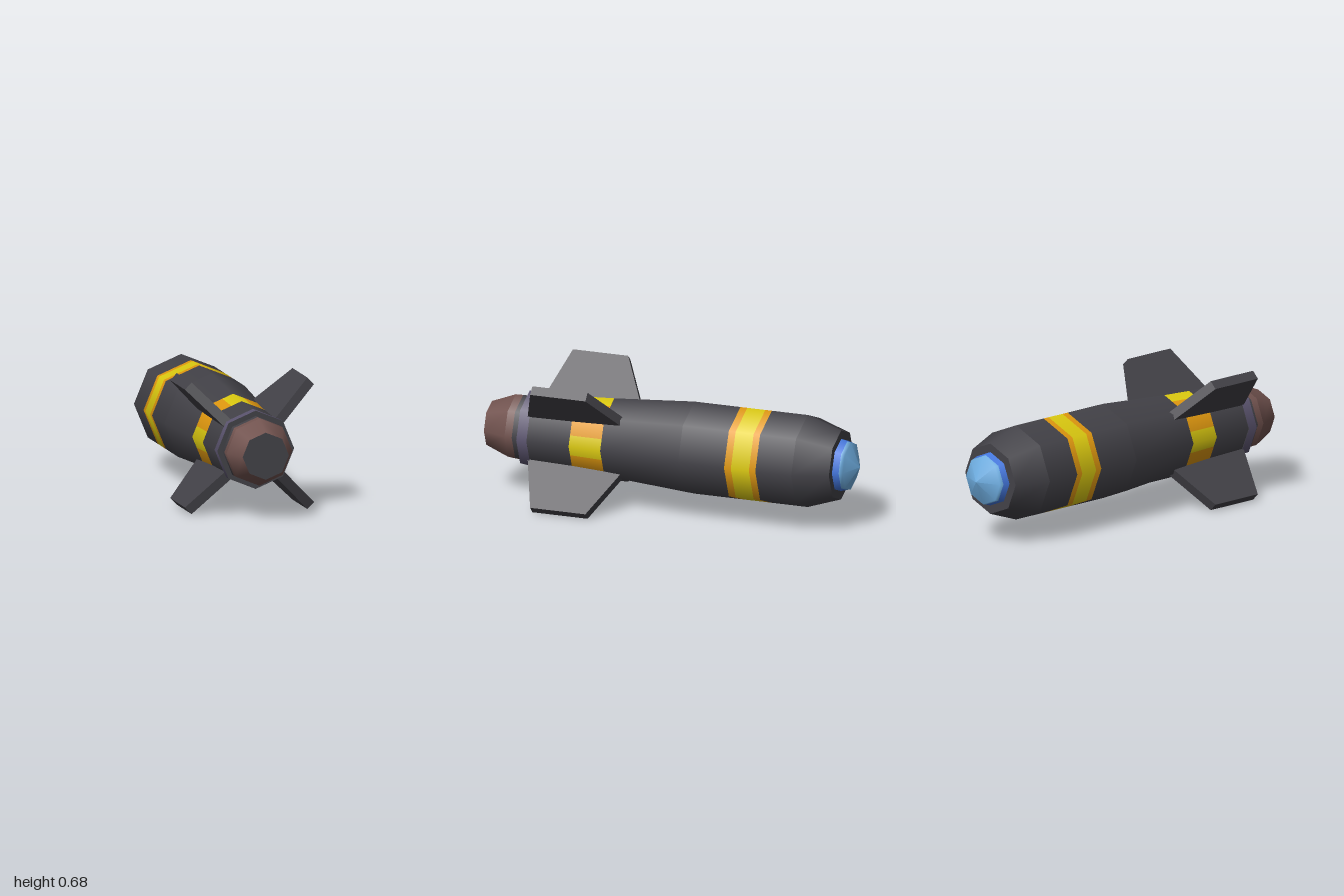
import * as THREE from 'three';

const AXIS_Y = 0.342;
const SIDES = 8;

const mat = (name, color) => {
  const m = new THREE.MeshStandardMaterial({ color });
  m.name = name;
  return m;
};

// Octagonal surface of revolution along z; profile is [z, radius] from back to front
function turned(name, material, profile) {
  const geo = new THREE.LatheGeometry(profile.map(([z, r]) => new THREE.Vector2(r, z)), SIDES);
  geo.rotateX(Math.PI / 2);
  const mesh = new THREE.Mesh(geo, material);
  mesh.name = name;
  return mesh;
}

// Strip of the octagonal skin between two z stations; outline is counter-clockwise unit points
function skinStrip(name, material, outline, [z0, r0], [z1, r1]) {
  const pos = [], nor = [], idx = [];
  outline.forEach((p, i) => {
    const n = p.clone().normalize();
    pos.push(p.x * r0, p.y * r0, z0, p.x * r1, p.y * r1, z1);
    nor.push(n.x, n.y, 0, n.x, n.y, 0);
    if (i > 0) {
      const a = 2 * i - 2;
      idx.push(a, a + 2, a + 1, a + 2, a + 3, a + 1);
    }
  });
  const geo = new THREE.BufferGeometry();
  geo.setAttribute('position', new THREE.Float32BufferAttribute(pos, 3));
  geo.setAttribute('normal', new THREE.Float32BufferAttribute(nor, 3));
  geo.setIndex(idx);
  const mesh = new THREE.Mesh(geo, material);
  mesh.name = name;
  return mesh;
}

export function createModel() {
  const dark = mat('charcoal', 0x434248);
  const yellow = mat('yellow', 0xdcca10);
  const orange = mat('orange', 0xe0980f);
  const lightBlue = mat('light blue', 0x70b0e4);
  const blue = mat('blue', 0x4478e0);
  const brown = mat('brown', 0x735450);
  const purple = mat('purple grey', 0x5c5570);

  const model = new THREE.Group();
  model.name = 'missile';
  const body = new THREE.Group();
  body.name = 'body';
  body.position.y = AXIS_Y;
  model.add(body);

  // Stations where the tapered rear skin changes colour
  const bandBack = [0.335, 0.215], bandFront = [0.51, 0.205];

  body.add(
    // Seeker dome and nose
    turned('seekerDome', lightBlue, [[-1, 0], [-0.95, 0.125], [-0.93, 0.131]]),
    turned('seekerRim', blue, [[-0.93, 0.131], [-0.897, 0.141]]),
    turned('noseFace', dark, [[-0.897, 0.13], [-0.897, 0.186]]),
    turned('noseCone', dark, [[-0.897, 0.186], [-0.715, 0.249]]),
    // Main tube with the forward warning band
    turned('forwardTube', dark, [[-0.715, 0.249], [-0.52, 0.249]]),
    turned('bandEdgeForward', orange, [[-0.52, 0.249], [-0.485, 0.249]]),
    turned('bandCentre', yellow, [[-0.485, 0.249], [-0.387, 0.249]]),
    turned('bandEdgeRear', orange, [[-0.387, 0.249], [-0.35, 0.249]]),
    turned('midTube', dark, [[-0.35, 0.249], [-0.1, 0.249]]),
    turned('taperedTube', dark, [[-0.1, 0.249], bandBack]),
    turned('tailTube', dark, [bandFront, [0.745, 0.198]]),
    // Tail ring and nozzle
    turned('tailRingBack', dark, [[0.742, 0.19], [0.742, 0.203]].map(([z, r], i) => [z, i ? r : 0.19])),
    turned('tailRing', purple, [[0.74, 0.203], [0.795, 0.203]]),
    turned('tailRingFace', dark, [[0.795, 0.203], [0.795, 0.17]]),
    turned('nozzleCollar', dark, [[0.795, 0.175], [0.83, 0.175]]),
    turned('nozzleRim', brown, [[0.83, 0.175], [0.87, 0.174]]),
    turned('nozzleCone', brown, [[0.87, 0.174], [1, 0.122]]),
    turned('nozzleCap', dark, [[1, 0.122], [1, 0]])
  );

  // Fin outline: x runs outward from the axis, y runs along the body
  const finShape = new THREE.Shape([[0.17, 0.222], [0.457, 0.37], [0.457, 0.67], [0.17, 0.757]]
    .map(([r, z]) => new THREE.Vector2(r, z)));
  const finGeo = new THREE.ExtrudeGeometry(finShape, { depth: 0.05, bevelEnabled: false });
  finGeo.translate(0, 0, -0.025);
  finGeo.rotateX(Math.PI / 2);

  // Octagon corners used by the rear band
  const corner = k => new THREE.Vector2(Math.cos(k * Math.PI / 4), Math.sin(k * Math.PI / 4));
  const along = (a, b) => corner(a).lerp(corner(b), 0.37);
  const yellowLine = [along(0, -1), corner(0), along(0, 1)];
  const orangeLine = [along(0, 1), corner(1), along(2, 1)];

  for (let i = 0; i < 4; i++) {
    const turn = i * Math.PI / 2;
    const fin = new THREE.Mesh(finGeo, dark);
    fin.name = 'fin' + (i + 1);
    fin.rotation.z = turn + Math.PI / 4;
    const centre = skinStrip('rearBandCentre', yellow, yellowLine, bandBack, bandFront);
    const edge = skinStrip('rearBandEdge', orange, orangeLine, bandBack, bandFront);
    centre.rotation.z = edge.rotation.z = turn;
    body.add(fin, centre, edge);
  }
  return model;
}
